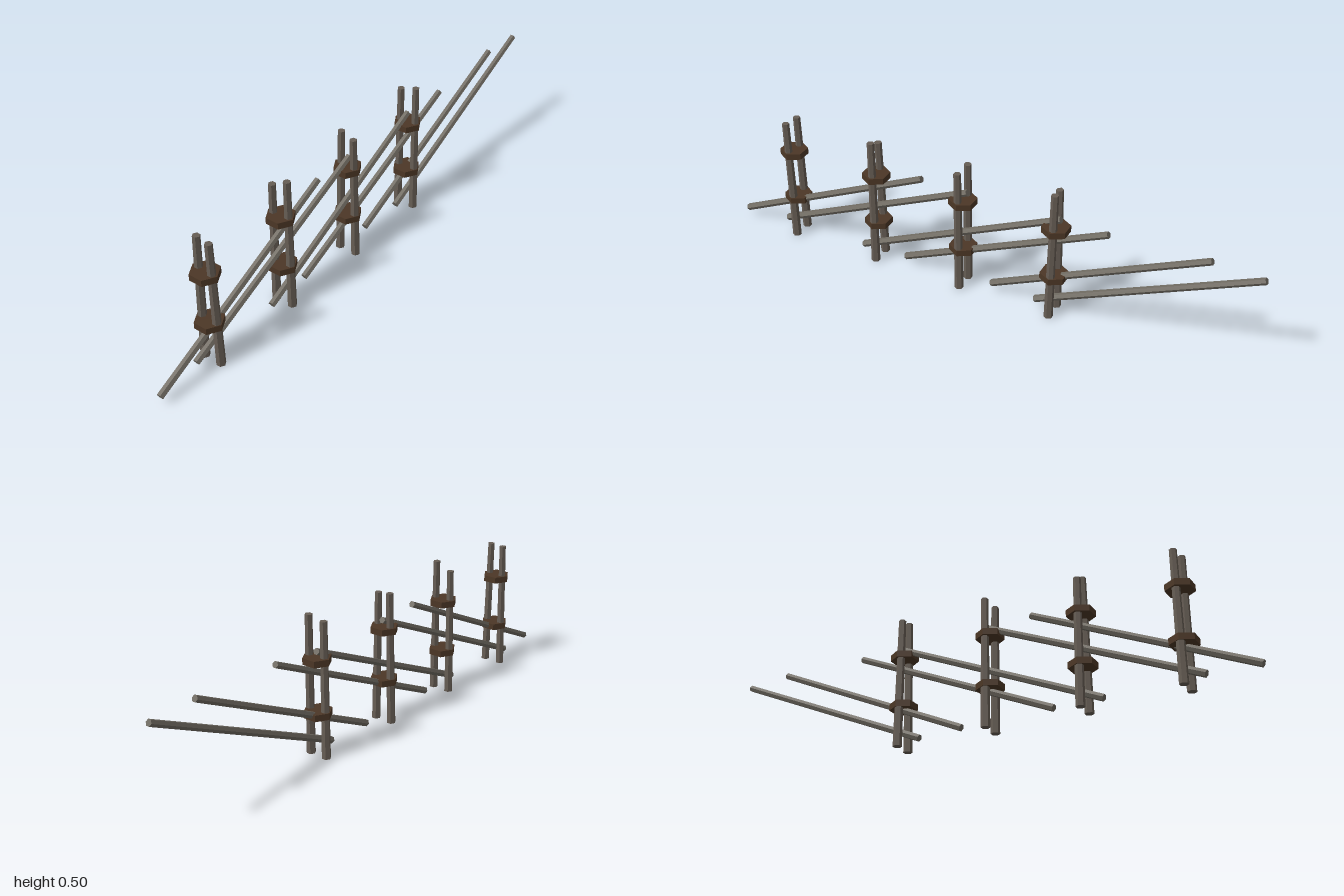
import * as THREE from 'three';

const material = (color) => new THREE.MeshStandardMaterial({ color, flatShading: true, roughness: 1 });

// Tapered six-sided pole running between two points
function pole(name, from, to, bottomRadius, topRadius, mat) {
  const a = new THREE.Vector3(...from);
  const b = new THREE.Vector3(...to);
  const direction = b.clone().sub(a);
  const geometry = new THREE.CylinderGeometry(topRadius, bottomRadius, direction.length(), 6);
  const mesh = new THREE.Mesh(geometry, mat);
  mesh.name = name;
  mesh.position.copy(a).add(b).multiplyScalar(0.5);
  mesh.quaternion.setFromUnitVectors(new THREE.Vector3(0, 1, 0), direction.normalize());
  return mesh;
}

export function createModel() {
  const model = new THREE.Group();
  model.name = 'slantedRailFence';
  const postWood = material(0x665d54);
  const railWood = material(0x706b62);
  const binding = material(0x4c3726);

  // Paired uprights: x, front height, back height, sideways lean
  const uprights = [
    [-0.755, 0.475, 0.475, -0.004],
    [-0.408, 0.495, 0.467, 0.003],
    [-0.063, 0.472, 0.482, -0.005],
    [0.285, 0.498, 0.484, 0.004],
  ];
  for (const [x, frontHeight, backHeight, lean] of uprights) {
    const pair = new THREE.Group();
    pair.name = 'postPair';
    pair.add(
      pole('frontPost', [x, 0, 0.034], [x + lean, frontHeight, 0.029], 0.016, 0.013, postWood),
      pole('backPost', [x, 0, -0.033], [x - lean, backHeight, -0.027], 0.016, 0.013, postWood),
    );
    // Hexagonal bindings holding the two posts together
    for (const y of [0.157, 0.347]) {
      const band = new THREE.Mesh(new THREE.CylinderGeometry(0.05, 0.05, 0.023, 6), binding);
      band.name = 'binding';
      band.position.set(x, y, 0);
      pair.add(band);
    }
    model.add(pair);
  }

  // Slanted rails slotted between the posts
  const rails = [
    [[-0.993, 0.03, 0.007], [-0.222, 0.388, 0.002]],
    [[-0.82, 0.03, -0.008], [-0.047, 0.383, -0.004]],
    [[-0.475, 0.03, 0.003], [0.298, 0.381, -0.009]],
    [[-0.3, 0.03, -0.003], [0.472, 0.389, 0.007]],
    [[0.045, 0.03, -0.007], [0.816, 0.4, 0.001]],
    [[0.218, 0.03, 0.002], [0.99, 0.388, 0.003]],
  ];
  for (const [low, high] of rails) model.add(pole('slantedRail', low, high, 0.013, 0.012, railWood));

  return model;
}
